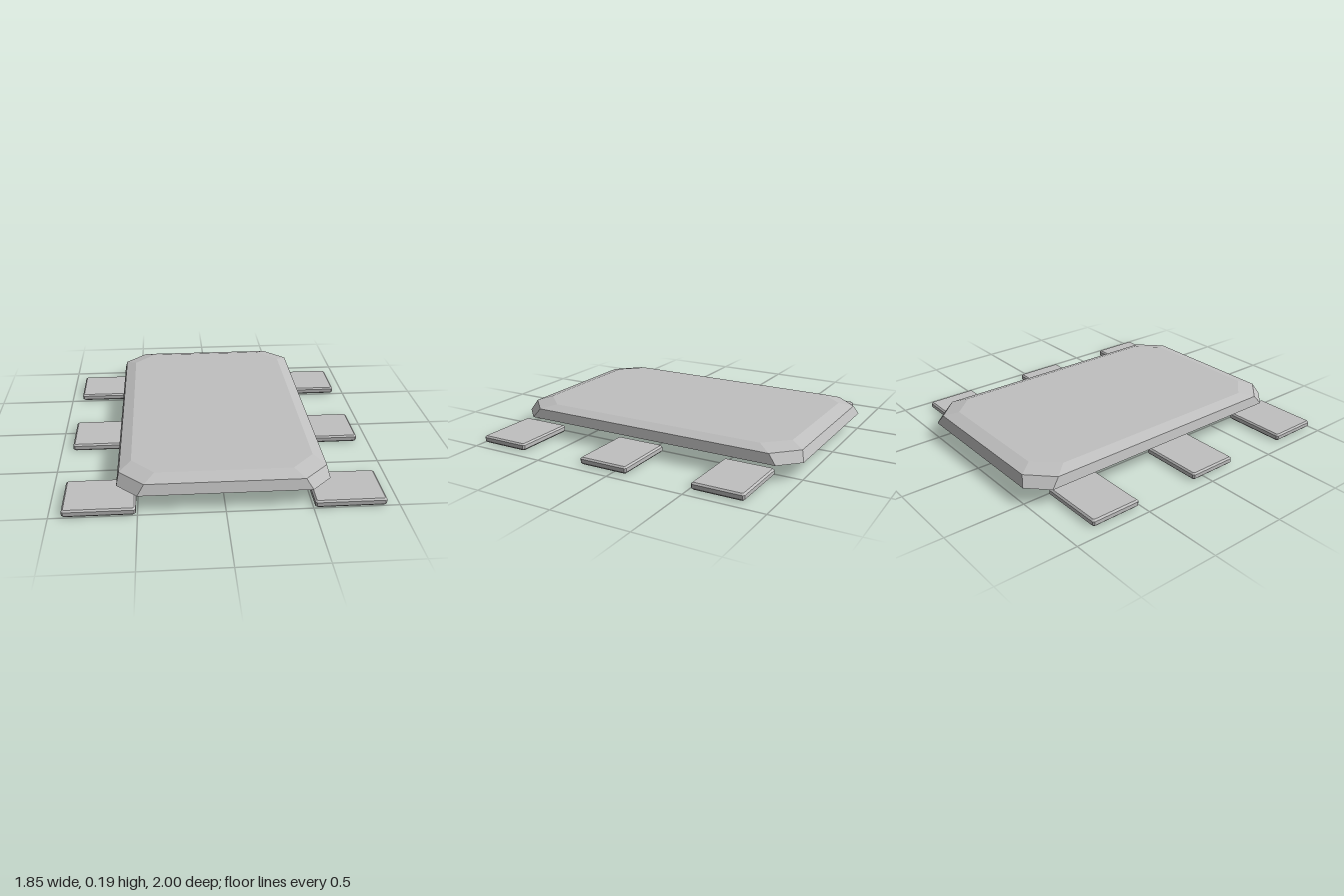
import * as THREE from 'three';

// Octagonal ring: half width, half length, and where the corner cuts start on each
const ring = (y, hx, hz, cx, cz) => [
  [cx, y, hz], [hx, y, cz], [hx, y, -cz], [cx, y, -hz],
  [-cx, y, -hz], [-hx, y, -cz], [-hx, y, cz], [-cx, y, hz],
];

// Closed, flat-faced solid through a stack of rings, bottom to top
function loft(rings) {
  const pos = [];
  const tri = (a, b, c) => pos.push(...a, ...b, ...c);
  const n = rings[0].length;
  for (let r = 0; r < rings.length - 1; r++) {
    for (let i = 0; i < n; i++) {
      const j = (i + 1) % n, lo = rings[r], hi = rings[r + 1];
      tri(lo[i], lo[j], hi[j]);
      tri(lo[i], hi[j], hi[i]);
    }
  }
  const base = rings[0], top = rings[rings.length - 1];
  for (let i = 1; i < n - 1; i++) {
    tri(base[0], base[i + 1], base[i]);
    tri(top[0], top[i], top[i + 1]);
  }
  const geo = new THREE.BufferGeometry();
  geo.setAttribute('position', new THREE.Float32BufferAttribute(pos, 3));
  geo.computeVertexNormals();
  return geo;
}

export function createModel() {
  const model = new THREE.Group();
  model.name = 'slabWithPads';
  const grey = new THREE.MeshStandardMaterial({ color: 0xc0c0c0 });
  grey.name = 'lightGrey';

  // Bevelled slab with cut corners
  const slab = new THREE.Mesh(loft([
    ring(0.105, 0.62, 0.985, 0.5, 0.865),
    ring(0.165, 0.605, 0.96, 0.46, 0.815),
    ring(0.19, 0.535, 0.875, 0.4, 0.73),
  ]), grey);
  slab.name = 'slab';
  slab.position.z = -0.015;
  model.add(slab);

  // Three thin chamfered pads along each side
  const hx = 0.208, hz = 0.163, c = 0.01;
  const full = (y) => ring(y, hx, hz, hx - c, hz - c);
  const inset = (y) => ring(y, hx - c, hz - c, hx - 1.6 * c, hz - 1.6 * c);
  const padGeo = loft([inset(0), full(c), full(0.034), inset(0.044)]);
  for (const side of [1, -1]) {
    [['front', 0.837], ['middle', 0.08], ['back', -0.672]].forEach(([place, z]) => {
      const pad = new THREE.Mesh(padGeo, grey);
      pad.name = place + (side > 0 ? 'Left' : 'Right') + 'Pad';
      pad.position.set(side * 0.717, 0, z);
      model.add(pad);
    });
  }
  return model;
}
